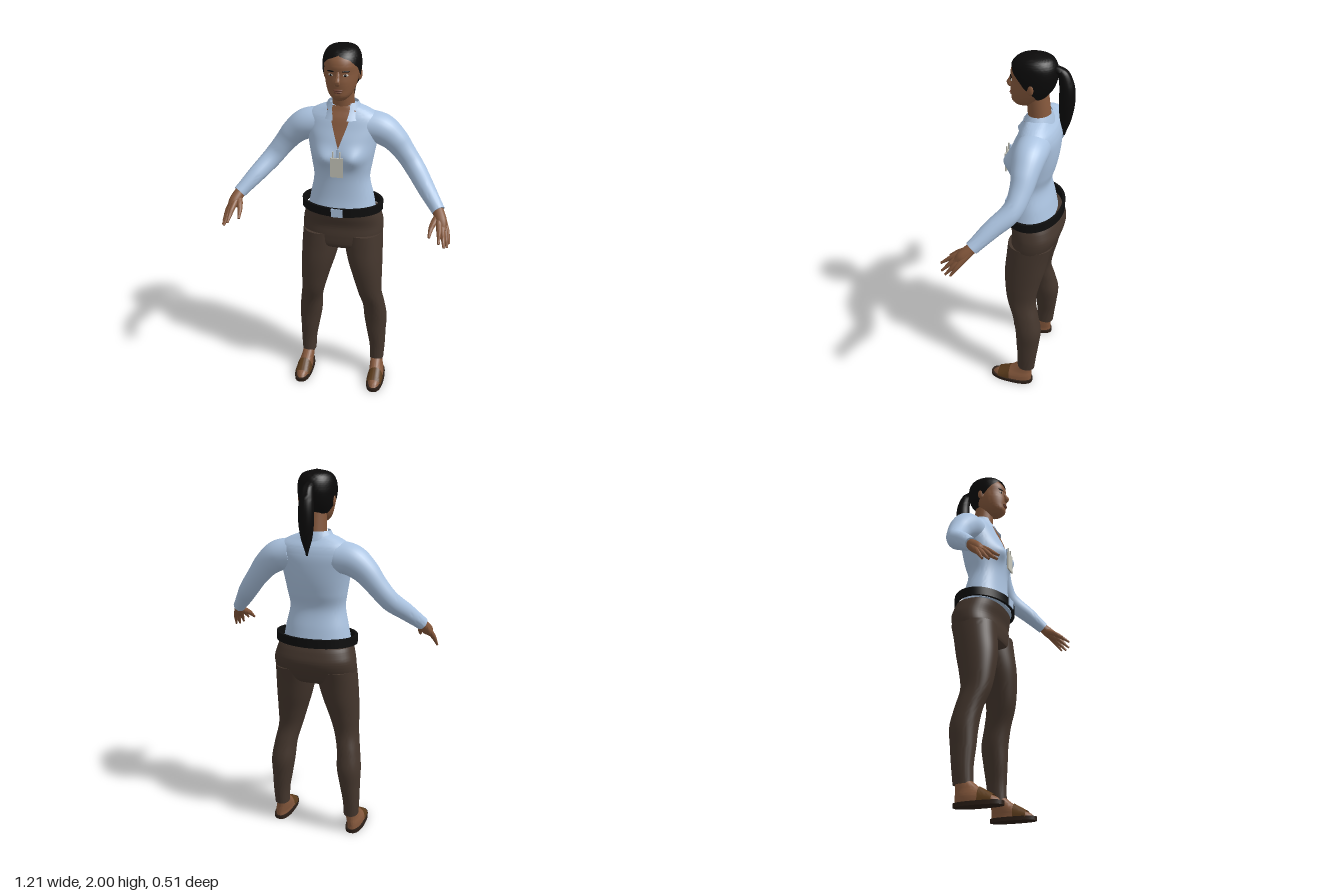
import * as THREE from 'three';
import { toCreasedNormals } from 'three/addons/utils/BufferGeometryUtils.js';

const mat = (name, color, side = THREE.FrontSide) => {
  const m = new THREE.MeshStandardMaterial({ color, side });
  m.name = name;
  return m;
};

// Surface from a grid of points: u runs along the part, v runs around it
function grid(fn, nu, nv) {
  const pos = [], idx = [];
  for (let i = 0; i <= nu; i++)
    for (let j = 0; j <= nv; j++) pos.push(...fn(i / nu, j / nv));
  for (let i = 0; i < nu; i++)
    for (let j = 0; j < nv; j++) {
      const a = i * (nv + 1) + j, c = a + nv + 1;
      idx.push(a, a + 1, c + 1, a, c + 1, c);
    }
  const g = new THREE.BufferGeometry();
  g.setAttribute('position', new THREE.Float32BufferAttribute(pos, 3));
  g.setIndex(idx);
  return toCreasedNormals(g, 0.9);
}

// Smooth interpolation of rows of numbers
function sample(rows, t) {
  const f = t * (rows.length - 1), i = Math.min(Math.floor(f), rows.length - 2), k = f - i;
  const at = n => rows[Math.max(0, Math.min(rows.length - 1, n))];
  return rows[i].map((b, q) => {
    const a = at(i - 1)[q], c = at(i + 1)[q], d = at(i + 2)[q];
    return b + 0.5 * k * (c - a + k * (2 * a - 5 * b + 4 * c - d + k * (3 * (b - c) + d - a)));
  });
}

// Stacked horizontal sections; row = [y, centreX, halfWidth, backZ, frontZ], angle 0 faces front
function stack(rows, { e = 2, grow = 0, cap = true, nu = 48, nv = 48, range, bump } = {}) {
  return grid((u, v) => {
    const end = cap && (u === 0 || u === 1);
    const t = cap ? Math.max(0, Math.min(1, (u * nu - 1) / (nu - 2))) : u;
    const [y, cx, hx, zb, zf] = sample(rows, t);
    const [a0, a1] = range ? range(y) : [0, Math.PI * 2];
    const a = a0 + (a1 - a0) * v, s = Math.sin(a), c = Math.cos(a);
    const k = end ? 0 : 1;
    const x = cx + k * (hx + grow) * Math.sign(s) * Math.abs(s) ** (2 / e);
    let z = (zb + zf) / 2 + k * ((zf - zb) / 2 + grow) * Math.sign(c) * Math.abs(c) ** (2 / e);
    if (bump && !end) z += bump(x, y, c);
    return [x, y, z];
  }, nu, nv);
}

// Round limb along a path; point = [x, y, z, radius]
function limb(pts, nu = 24, nv = 20) {
  const curve = new THREE.CatmullRomCurve3(pts.map(p => new THREE.Vector3(p[0], p[1], p[2])));
  const n = nu - 2, frames = curve.computeFrenetFrames(n);
  return grid((u, v) => {
    const i = Math.max(0, Math.min(n, Math.round(u * nu) - 1));
    const r = u === 0 || u === 1 ? 0 : sample(pts, i / n)[3];
    const a = v * Math.PI * 2;
    return curve.getPoint(i / n)
      .addScaledVector(frames.normals[i], r * Math.cos(a))
      .addScaledVector(frames.binormals[i], r * Math.sin(a)).toArray();
  }, nu, nv);
}

const TORSO = [[1.12, 0, .185, -.18, .07], [1.2, 0, .17, -.165, .055], [1.3, 0, .15, -.145, .05],
  [1.38, 0, .16, -.165, .055], [1.45, 0, .172, -.18, .06], [1.52, 0, .185, -.188, .045],
  [1.58, 0, .2, -.188, .02], [1.63, 0, .19, -.175, 0], [1.665, 0, .14, -.15, -.02], [1.69, 0, .075, -.135, -.03]];
const HEAD = [[1.737, 0, .03, -.04, .04], [1.76, 0, .055, -.08, .057], [1.79, 0, .071, -.11, .059],
  [1.83, 0, .081, -.14, .062], [1.87, 0, .086, -.155, .058], [1.91, 0, .088, -.16, .06],
  [1.95, 0, .08, -.152, .042], [1.978, 0, .055, -.125, .005], [1.992, 0, 0, -.06, -.06]];
const HIPS = [[.885, 0, .1, -.11, .0], [.91, 0, .205, -.17, .04], [.97, 0, .222, -.205, .045],
  [1.03, 0, .222, -.222, .04], [1.08, 0, .21, -.212, .05], [1.11, 0, .2, -.2, .055]];
const LEG = [[.11, .21, .04, -.13, -.03], [.2, .21, .045, -.14, -.03], [.3, .202, .055, -.152, -.022],
  [.4, .195, .065, -.16, -.015], [.5, .185, .062, -.14, .005], [.6, .165, .066, -.12, .04],
  [.7, .15, .08, -.135, .055], [.8, .134, .095, -.16, .06], [.9, .121, .105, -.18, .052], [.98, .115, .106, -.2, .045]];
const FOOT = [[.02, .22, .042, -.115, .12], [.038, .22, .041, -.115, .1], [.055, .218, .04, -.115, .065],
  [.085, .213, .036, -.115, .015], [.13, .21, .033, -.12, -.04]];
const ARM = [[.12, 1.575, -.09, .085], [.2, 1.56, -.09, .082], [.27, 1.51, -.09, .068],
  [.33, 1.44, -.085, .056], [.39, 1.365, -.06, .052], [.46, 1.29, .02, .045], [.53, 1.215, .095, .035]];
const FINGERS = {
  indexFinger: [[.535, 1.2, .11, .018], [.545, 1.155, .185, .014], [.552, 1.105, .25, .006]],
  middleFinger: [[.54, 1.2, .11, .018], [.562, 1.14, .18, .014], [.578, 1.08, .238, .006]],
  ringFinger: [[.54, 1.2, .105, .018], [.575, 1.133, .165, .014], [.592, 1.072, .215, .006]],
  littleFinger: [[.545, 1.2, .1, .018], [.583, 1.133, .15, .013], [.6, 1.077, .185, .006]],
  thumb: [[.53, 1.19, .115, .02], [.507, 1.158, .17, .014], [.499, 1.12, .22, .007]],
  palm: [[.523, 1.225, .085, .028], [.55, 1.175, .135, .03], [.566, 1.14, .17, .016]],
};

export function createModel() {
  const root = new THREE.Group();
  root.name = 'woman';
  const D = THREE.DoubleSide;
  const skin = mat('skin', 0x85583c), shirt = mat('shirt blue', 0xabc3e0, D), trousers = mat('trouser brown', 0x44362d);
  const black = mat('belt black', 0x0e0e0e), hair = mat('hair black', 0x0b0a0a, D), strap = mat('sandal brown', 0x5c3c1c, D);
  const sole = mat('sole dark brown', 0x2c1f17), card = mat('badge grey', 0xc6c6bb);
  const white = mat('eye white', 0xc9c4bd), lip = mat('lip brown', 0x6b4030);
  const add = (name, geo, m, p = [0, 0, 0], sc = [1, 1, 1], ry = 0) => {
    const o = new THREE.Mesh(geo, m);
    o.name = name;
    o.position.set(...p);
    o.scale.set(...sc);
    o.rotation.y = ry;
    root.add(o);
    return o;
  };
  const ball = new THREE.SphereGeometry(1, 20, 14);

  // Shirt body with bust, open neckline and collar
  const bust = (x, y, c) => c <= 0 ? 0 :
    .036 * c * Math.exp(-(((Math.abs(x) - .08) / .06) ** 2) - ((y - 1.435) / .05) ** 2);
  add('shirtBody', stack(TORSO, { e: 2.2, nu: 60, nv: 80, bump: bust }), shirt);
  const neckline = y => {
    const a = Math.asin(Math.min(.75, Math.max(0, (y - 1.49) * .28) / (y > 1.66 ? .1 : .19)));
    return [-a, a];
  };
  add('openNeckline', stack(TORSO.slice(4), { e: 2.2, grow: .004, cap: false, nu: 30, nv: 12, range: neckline, bump: bust }), skin);
  add('collar', stack([[1.625, 0, .118, -.165, .022], [1.665, 0, .1, -.155, -.002], [1.705, 0, .078, -.143, -.018]],
    { cap: false, nu: 8, range: y => [.3 + (y - 1.625) * 4, Math.PI * 2 - .3 - (y - 1.625) * 4] }), shirt);
  add('placket', new THREE.BoxGeometry(.012, .1, .006), shirt, [0, 1.44, .07]);

  // Neck, head and face
  add('neck', limb([[0, 1.6, -.09, .065], [0, 1.68, -.083, .058], [0, 1.8, -.07, .055]]), skin);
  add('head', stack(HEAD, { e: 2.1 }), skin);
  add('noseBridge', limb([[0, 1.885, .05, .009], [0, 1.855, .063, .011], [0, 1.832, .071, .014], [0, 1.822, .06, .01]]), skin);
  add('upperLip', ball, lip, [0, 1.794, .058], [.025, .006, .009]);
  add('lowerLip', ball, lip, [0, 1.784, .056], [.021, .006, .009]);

  // Swept back hair with ponytail
  const hairline = [[1.765, 2.6], [1.8, 2.1], [1.86, 1.4], [1.9, 1.1], [1.94, .6], [1.96, 0], [2.1, 0]];
  const hairRange = y => {
    let i = 0;
    while (i < hairline.length - 2 && y > hairline[i + 1][0]) i++;
    const [p, q] = [hairline[i], hairline[i + 1]];
    const a = THREE.MathUtils.mapLinear(y, p[0], q[0], p[1], q[1]);
    return [a, Math.PI * 2 - a];
  };
  add('hairCap', stack(HEAD.slice(2).map(([y, ...r]) => [y + (y > 1.9 ? (y - 1.9) * .08 : 0), ...r]),
    { e: 2.1, grow: .009, nu: 60, nv: 56, range: hairRange }), hair);
  add('ponytail', limb([[0, 1.92, -.15, .026], [0, 1.925, -.185, .026], [0, 1.86, -.212, .036],
    [0, 1.77, -.216, .039], [0, 1.68, -.212, .028], [0, 1.595, -.208, .005]], 36), hair);

  // Hips, belt and buckle
  add('trouserHips', stack(HIPS, { e: 2.4 }), trousers);
  const ring = new THREE.Shape().absellipse(0, .065, .222, .155, 0, Math.PI * 2);
  ring.holes.push(new THREE.Path().absellipse(0, .065, .207, .14, 0, Math.PI * 2));
  const belt = new THREE.ExtrudeGeometry(ring, { depth: .046, bevelEnabled: false, curveSegments: 48 });
  add('belt', toCreasedNormals(belt.rotateX(-Math.PI / 2), .6), black, [0, 1.117, 0]);
  add('buckle', new THREE.BoxGeometry(.062, .046, .008), shirt, [0, 1.14, .09]);

  // Badge with two clip loops
  add('badge', new THREE.BoxGeometry(.066, .105, .008), card, [0, 1.398, .087]);
  for (const x of [-.02, .015])
    add('badgeClip', new THREE.BoxGeometry(.005, .04, .008), card, [x, 1.465, .085]);

  for (const s of [1, -1]) {
    const side = s > 0 ? 'left' : 'right';
    const flipPts = a => a.map(([x, ...r]) => [x * s, ...r]);
    const flipRows = a => a.map(([y, cx, ...r]) => [y, cx * s, ...r]);

    // Eye, brow and ear
    add(side + 'Eye', ball, white, [s * .037, 1.868, .048], [.014, .006, .005], s * .4);
    add(side + 'Iris', ball, hair, [s * .036, 1.868, .0515], [.006, .006, .004], s * .4);
    add(side + 'Brow', ball, hair, [s * .038, 1.887, .049], [.021, .004, .005], s * .4);
    add(side + 'Ear', ball, skin, [s * .088, 1.852, -.058], [.01, .03, .018], s * -.3);

    // Sleeve and hand
    add(side + 'Sleeve', limb(flipPts(ARM), 40, 28), shirt);
    for (const [name, pts] of Object.entries(FINGERS))
      add(side + name[0].toUpperCase() + name.slice(1), limb(flipPts(pts), 14, 12), skin);

    // Trouser leg
    add(side + 'TrouserLeg', stack(flipRows(LEG), { e: 2.2 }), trousers);

    // Foot and sandal
    add(side + 'Foot', stack(flipRows(FOOT), { e: 2.2, nu: 24 }), skin);
    add(side + 'Sole', stack([[0, s * .22, .05, -.122, .132], [.02, s * .22, .05, -.122, .132]], { e: 2.5, nu: 4 }), sole);
    add(side + 'Strap', grid((u, v) => {
      const a = Math.PI * v, z = .015 + .07 * u;
      return [s * .219 + (.046 - .003 * u) * Math.cos(a), .015 + (.077 - .04 * u) * Math.sin(a) ** .8, z];
    }, 8, 20), strap);
  }
  return root;
}
